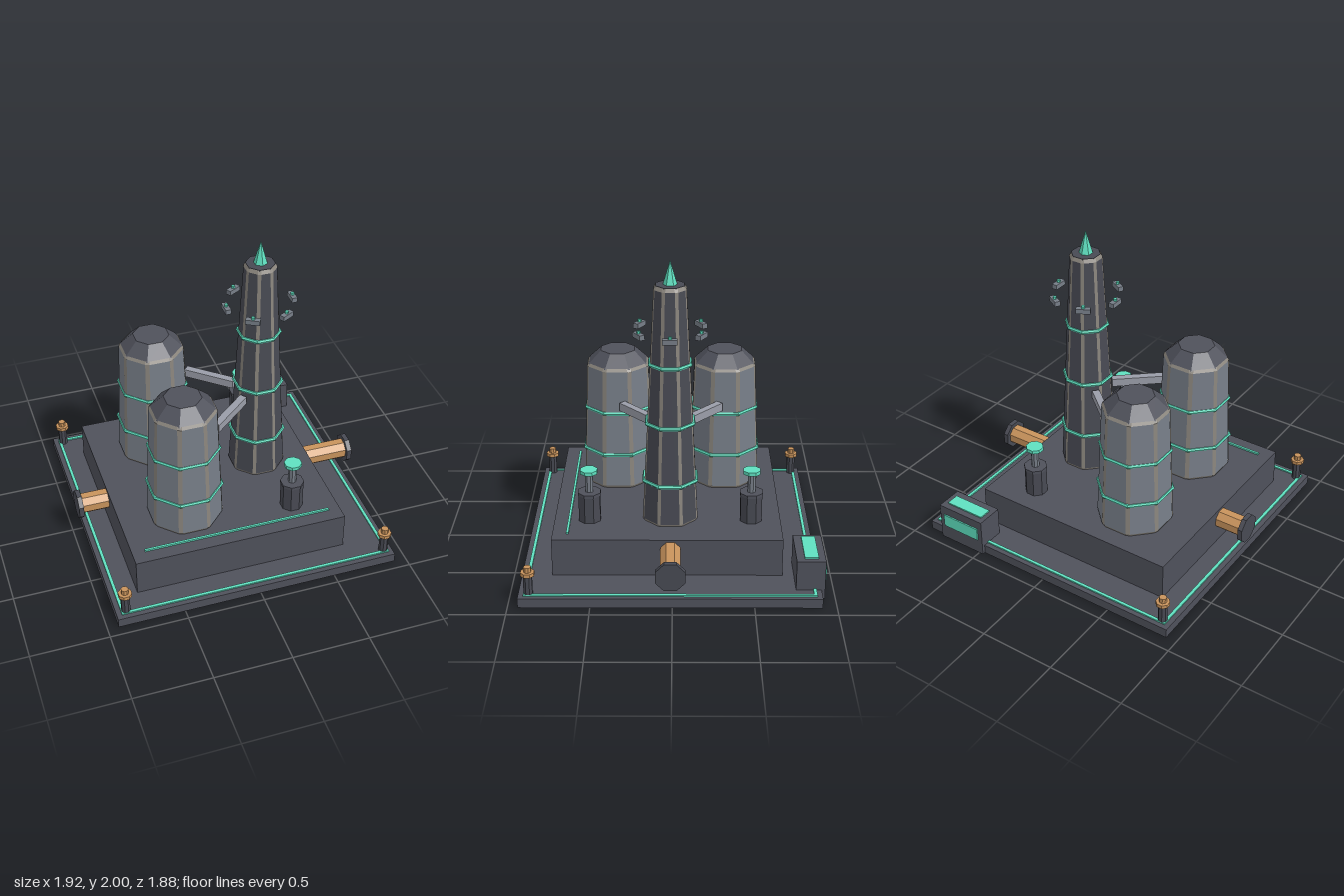
import * as THREE from 'three';

const mat = (color) => new THREE.MeshStandardMaterial({ color, flatShading: true, side: THREE.DoubleSide });
const dark = mat(0x4f515b), charcoal = mat(0x484a53), steel = mat(0x777e88), light = mat(0x9a9da8);
const worn = mat(0x8a857d), copper = mat(0xc8935c), glow = mat(0x5fe0c0);
const FLAT = Math.cos(Math.PI / 8); // apothem / radius of an octagon

function add(parent, name, geo, material, x = 0, y = 0, z = 0) {
  const m = new THREE.Mesh(geo, material);
  m.name = name;
  m.position.set(x, y, z);
  parent.add(m);
  return m;
}

// box given by its limits
function block(parent, name, material, x0, x1, y0, y1, z0, z1) {
  return add(parent, name, new THREE.BoxGeometry(x1 - x0, y1 - y0, z1 - z0), material,
    (x0 + x1) / 2, (y0 + y1) / 2, (z0 + z1) / 2);
}

// octagonal drum standing between y0 and y1, flats facing the axes; sizes are apothems
function drum(parent, name, material, a0, a1, y0, y1, x = 0, z = 0) {
  const g = new THREE.CylinderGeometry(a1 / FLAT, a0 / FLAT, y1 - y0, 8).rotateY(Math.PI / 8);
  return add(parent, name, g, material, x, (y0 + y1) / 2, z);
}

// octagonal shell with worn, chamfered corners; levels are [y, apothem, wornBandAbove]
function shell(parent, name, material, levels, chamfer) {
  const faces = [], edges = [];
  const ring = ([y, a]) => {
    const pts = [], h = a * Math.tan(Math.PI / 8) - chamfer;
    for (let k = 0; k < 8; k++) {
      const t = k * Math.PI / 4, c = Math.cos(t), s = Math.sin(t);
      for (const e of [-h, h]) pts.push([a * c - e * s, y, a * s + e * c]);
    }
    return pts;
  };
  for (let l = 0; l < levels.length - 1; l++) {
    const b = ring(levels[l]), t = ring(levels[l + 1]);
    for (let i = 0; i < 16; i++) {
      const j = (i + 1) % 16;
      const out = i % 2 || levels[l][2] ? edges : faces;
      out.push(...b[i], ...t[i], ...t[j], ...b[i], ...t[j], ...b[j]);
    }
  }
  for (const [suffix, data, m] of [['Panels', faces, material], ['Edges', edges, worn]]) {
    const g = new THREE.BufferGeometry();
    g.setAttribute('position', new THREE.Float32BufferAttribute(data, 3));
    g.computeVertexNormals();
    add(parent, name + suffix, g, m);
  }
}

// glowing octagonal hoop with outer apothem a
function hoop(parent, a, y) {
  const g = new THREE.TorusGeometry((a - 0.012) / FLAT, 0.013, 6, 8).rotateZ(Math.PI / 8).rotateX(Math.PI / 2);
  add(parent, 'glowRing', g, glow, 0, y, 0);
}

function group(parent, name, x, z) {
  const g = new THREE.Group();
  g.name = name;
  g.position.set(x, 0, z);
  parent.add(g);
  return g;
}

export function createModel() {
  const model = new THREE.Group();
  model.name = 'industrialPlant';

  // base plate, its glowing border and the plinth
  block(model, 'basePlate', dark, -0.93, 0.92, 0, 0.062, -0.913, 0.938);
  for (const z of [-0.872, 0.896]) block(model, 'borderStrip', glow, -0.898, 0.892, 0.06, 0.071, z - 0.01, z + 0.01);
  for (const x of [-0.888, 0.882]) block(model, 'borderStrip', glow, x - 0.01, x + 0.01, 0.06, 0.071, -0.872, 0.896);
  block(model, 'plinth', dark, -0.757, 0.633, 0.06, 0.308, -0.686, 0.75);
  block(model, 'plinthStrip', glow, -0.674, 0.556, 0.305, 0.32, 0.648, 0.663);

  // two storage tanks
  for (const z of [-0.342, 0.363]) {
    const tank = group(model, 'tank', -0.325, z);
    shell(tank, 'tank', steel, [[0.305, 0.22, true], [0.325, 0.23], [1.125, 0.2, true], [1.143, 0.188]], 0.015);
    drum(tank, 'tankDome', dark, 0.19, 0.11, 1.138, 1.22);
    hoop(tank, 0.233, 0.547);
    hoop(tank, 0.219, 0.837);
  }

  // tapered tower with rings and spike
  const tower = group(model, 'tower', 0.286, 0.015);
  shell(tower, 'tower', charcoal, [[0.305, 0.168, true], [0.322, 0.174], [1.825, 0.1, true], [1.847, 0.088]], 0.012);
  drum(tower, 'towerCap', charcoal, 0.089, 0.086, 1.83, 1.849);
  hoop(tower, 0.175, 0.58);
  hoop(tower, 0.156, 0.966);
  hoop(tower, 0.135, 1.352);
  add(tower, 'spike', new THREE.ConeGeometry(0.044, 0.152, 6), glow, 0, 1.924, 0);

  // six pods floating round the tower
  for (let i = 0; i < 6; i++) {
    const pod = new THREE.Group();
    pod.name = 'floatingPod';
    pod.rotation.y = i * Math.PI / 3;
    tower.add(pod);
    block(pod, 'podBody', steel, 0.2, 0.236, 1.544, 1.576, -0.046, 0.046);
    add(pod, 'podLight', new THREE.CylinderGeometry(0.012, 0.012, 0.018, 6), glow, 0.218, 1.583, 0);
  }

  // ducts from tanks to tower
  for (const [z0, z1] of [[-0.305, -0.08], [0.33, 0.105]]) {
    const dx = 0.26, dz = z1 - z0;
    const duct = add(model, 'duct', new THREE.BoxGeometry(Math.hypot(dx, dz), 0.055, 0.048), light,
      0.028, 0.9, (z0 + z1) / 2);
    duct.rotation.y = -Math.atan2(dz, dx);
  }

  // valves with glowing caps
  for (const z of [-0.498, 0.526]) {
    const valve = group(model, 'valve', 0.348, z);
    drum(valve, 'valveBody', charcoal, 0.068, 0.068, 0.305, 0.485);
    drum(valve, 'valveCollar', dark, 0.071, 0.071, 0.485, 0.505);
    drum(valve, 'valveStem', steel, 0.024, 0.024, 0.5, 0.64);
    drum(valve, 'valveCap', glow, 0.053, 0.053, 0.632, 0.656);
  }

  // copper side pipes with end flanges
  for (const [name, a, x0, x1, m] of [
    ['sidePipe', 0.063, -0.94, -0.75, copper], ['sideFlange', 0.09, -0.963, -0.932, charcoal],
    ['sidePipe', 0.063, 0.625, 0.93, copper], ['sideFlange', 0.09, 0.924, 0.957, charcoal]]) {
    const g = new THREE.CylinderGeometry(a / FLAT, a / FLAT, x1 - x0, 8).rotateY(Math.PI / 8).rotateZ(Math.PI / 2);
    add(model, name, g, m, (x0 + x1) / 2, 0.229, 0.012);
  }

  // corner posts with copper heads
  for (const [x, z] of [[-0.866, -0.855], [-0.866, 0.876], [0.861, 0.876]]) {
    const post = group(model, 'cornerPost', x, z);
    drum(post, 'postShaft', charcoal, 0.027, 0.027, 0.06, 0.2);
    drum(post, 'postHead', copper, 0.041, 0.041, 0.193, 0.217);
    drum(post, 'postTip', copper, 0.022, 0.022, 0.215, 0.25);
  }

  // control console on the back corner
  block(model, 'console', dark, 0.468, 0.81, 0.003, 0.258, -0.935, -0.757);
  block(model, 'consoleTopPanel', glow, 0.5, 0.775, 0.255, 0.267, -0.893, -0.807);
  block(model, 'consoleBackPanel', glow, 0.5, 0.775, 0.11, 0.198, -0.944, -0.93);

  return model;
}
